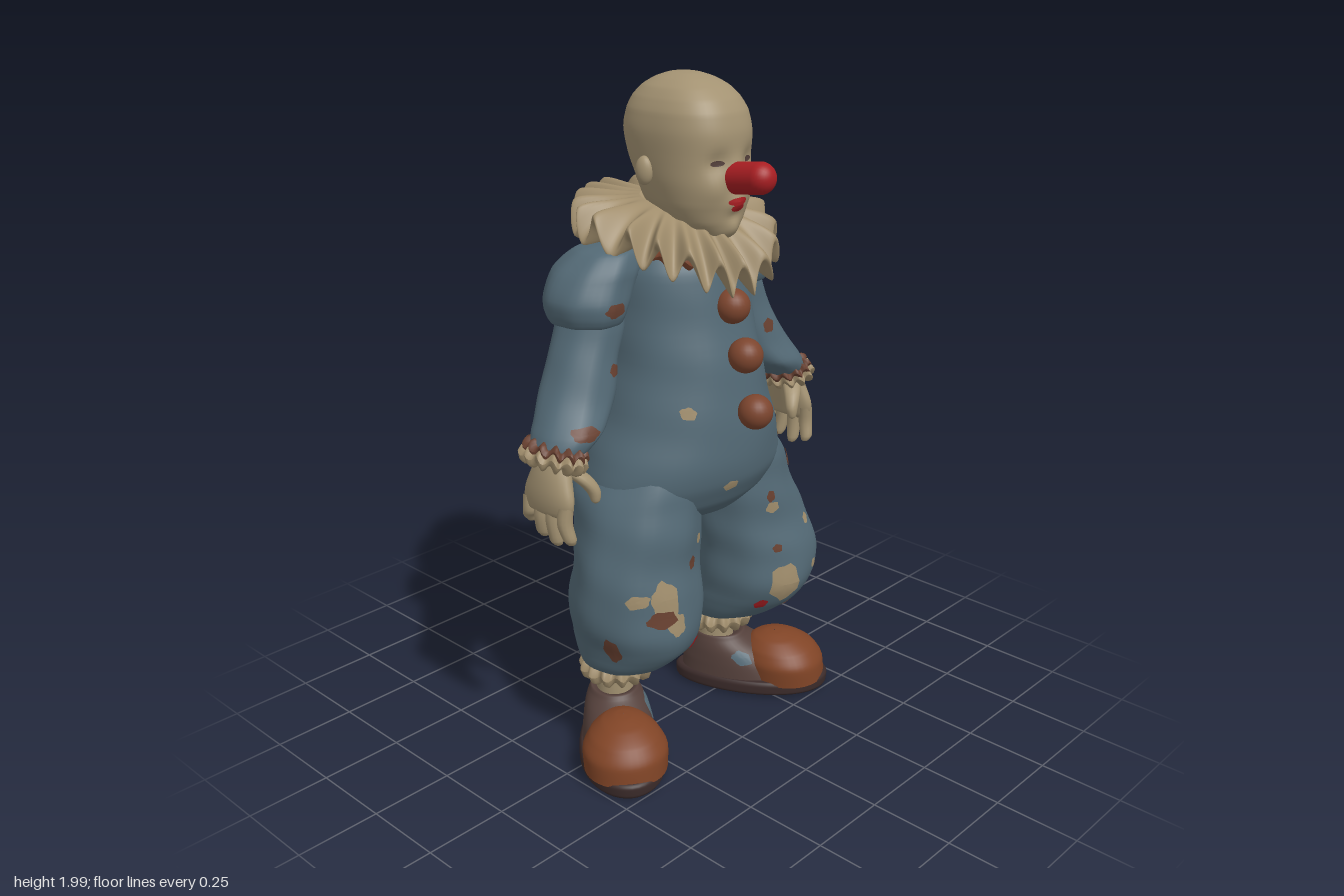
import * as THREE from 'three';

const paint = (name, color, side = THREE.FrontSide) => {
  const m = new THREE.MeshStandardMaterial({ color, side });
  m.name = name;
  return m;
};

// Smooth body lofted through horizontal ovals [x, y, z, halfWidth, halfDepth]
function loft(sections, seg = 32, rows = 32, wrinkle = 0) {
  const s = sections[0][1] > sections.at(-1)[1] ? [...sections].reverse() : sections;
  const mid = new THREE.CatmullRomCurve3(s.map(p => new THREE.Vector3(p[0], p[1], p[2])));
  const size = new THREE.CatmullRomCurve3(s.map(p => new THREE.Vector3(p[3], p[4], 0)));
  const pos = [], idx = [];
  for (let j = 0; j <= rows; j++) {
    const c = mid.getPoint(j / rows), r = size.getPoint(j / rows);
    for (let i = 0; i < seg; i++) {
      const a = (i / seg) * Math.PI * 2;
      const k = 1 + wrinkle * Math.sin(3 * a + c.y * 22) * Math.sin(5 * a - c.y * 17);
      pos.push(c.x + Math.cos(a) * r.x * k, c.y, c.z + Math.sin(a) * r.y * k);
      if (j < rows) {
        const n = (i + 1) % seg, p = j * seg, q = p + seg;
        idx.push(p + i, q + i, p + n, q + i, q + n, p + n);
      }
    }
  }
  const g = new THREE.BufferGeometry();
  g.setAttribute('position', new THREE.Float32BufferAttribute(pos, 3));
  g.setIndex(idx);
  g.computeVertexNormals();
  return g;
}

// Move every vertex by a rule
function reshape(g, rule) {
  const p = g.attributes.position, v = new THREE.Vector3();
  for (let i = 0; i < p.count; i++) {
    v.fromBufferAttribute(p, i);
    rule(v);
    p.setXYZ(i, v.x, v.y, v.z);
  }
  g.computeVertexNormals();
  return g;
}

// Gathered cuff: a ring with beaded folds
function frill(radius, tube, folds, wave) {
  const g = new THREE.TorusGeometry(radius, tube, 10, folds * 8).rotateX(Math.PI / 2);
  return reshape(g, v => {
    const a = Math.atan2(v.z, v.x), r = Math.hypot(v.x, v.z);
    const k = (radius + (r - radius) * (1 + 0.3 * Math.cos(folds * a))) / r;
    v.x *= k;
    v.z *= k;
    v.y = v.y * (1 + 0.2 * Math.cos(folds * a)) + wave * Math.sin(folds * a);
  });
}

// Pleated neck ruff, level behind and drooping in front, upper and lower cloth joined at the rim
function ruffGeometry() {
  const pleats = 20, seg = 320, rows = 28, pos = [], idx = [];
  for (let j = 0; j <= rows; j++) {
    const u = (j / rows) * Math.PI;
    const t = Math.sin(u), top = Math.cos(u);
    for (let i = 0; i < seg; i++) {
      const a = (i / seg) * Math.PI * 2;
      const phase = pleats * a + 0.9 * Math.sin(3 * a) + 0.5 * Math.sin(7 * a);
      const r = (0.1 + 0.185 * t) * (1 + t * (0.03 * Math.cos(phase) + 0.015 * Math.sin(4 * a + 1)));
      const x = Math.cos(a) * r, z = Math.sin(a) * r * 1.03 - 0.03;
      const droop = 1.1 * Math.max(0, z + 0.1) ** 2 + 0.3 * x * x;
      pos.push(x, 1.614 - droop + 0.045 * top + 0.042 * t * t * Math.sin(phase), z);
      if (j < rows) {
        const n = (i + 1) % seg, p = j * seg, q = p + seg;
        idx.push(p + i, p + n, q + i, q + i, p + n, q + n);
      }
    }
  }
  const g = new THREE.BufferGeometry();
  g.setAttribute('position', new THREE.Float32BufferAttribute(pos, 3));
  g.setIndex(idx);
  g.computeVertexNormals();
  return g;
}

export function createModel() {
  const skin = paint('skin', 0xa39272), cloth = paint('blueCloth', 0x536975);
  const ruffle = paint('ruffleCloth', 0xa08d6c, THREE.DoubleSide), button = paint('buttonBrown', 0x7c452e);
  const toe = paint('toeLeather', 0x804426), leather = paint('shoeLeather', 0x54403b);
  const soleDark = paint('soleDark', 0x3b2b2a), red = paint('red', 0xa81e22, THREE.DoubleSide);
  const brown = paint('patchBrown', 0x684030, THREE.DoubleSide), tan = paint('patchTan', 0xa08d6c, THREE.DoubleSide);

  const clown = new THREE.Group();
  clown.name = 'clown';
  const add = (name, g, m, parent = clown) => {
    const mesh = new THREE.Mesh(g, m);
    mesh.name = name;
    parent.add(mesh);
    return mesh;
  };
  const group = name => {
    const g = new THREE.Group();
    g.name = name;
    clown.add(g);
    return g;
  };

  // Head, slightly squared in plan, with gentle bumps [x, y, reach, push] for the face
  const bumps = [[0.06, 1.775, 0.03, -0.014], [-0.06, 1.775, 0.03, -0.014], [0.075, 1.7, 0.04, 0.01],
    [-0.075, 1.7, 0.04, 0.01], [0, 1.665, 0.03, 0.016], [0, 1.63, 0.02, -0.008], [0, 1.595, 0.03, 0.012], [0, 1.75, 0.03, 0.012]];
  const head = add('head', reshape(loft([
    [0, 1.48, -0.02, 0.09, 0.09], [0, 1.545, 0.03, 0.07, 0.09], [0, 1.57, 0.07, 0.065, 0.1],
    [0, 1.61, 0.06, 0.098, 0.125], [0, 1.66, 0.045, 0.122, 0.147], [0, 1.72, 0.035, 0.135, 0.16],
    [0, 1.78, 0.022, 0.141, 0.174], [0, 1.845, 0.015, 0.145, 0.181], [0, 1.9, 0.014, 0.138, 0.169],
    [0, 1.935, 0.012, 0.122, 0.149], [0, 1.963, 0.01, 0.1, 0.118], [0, 1.983, 0.008, 0.07, 0.082],
    [0, 1.995, 0.006, 0.038, 0.044], [0, 2, 0.006, 0.001, 0.001]], 64, 78), v => {
    const a = Math.atan2((v.z - 0.015) / 0.18, v.x / 0.145);
    const square = (Math.abs(Math.cos(a)) ** 2.5 + Math.abs(Math.sin(a)) ** 2.5) ** -0.4;
    v.x *= square;
    v.z = 0.015 + (v.z - 0.015) * square;
    if (v.z < 0.05) return;
    for (const [x, y, r, d] of bumps) v.z += d * Math.exp(-((v.x - x) ** 2 + (v.y - y) ** 2) / (r * r));
  }), skin);
  add('nose', new THREE.CapsuleGeometry(0.044, 0.085, 10, 24).rotateX(Math.PI / 2 - 0.12), red).position.set(0, 1.737, 0.237);

  // Ruff and the band beneath it
  add('neckRuff', ruffGeometry(), ruffle);
  const band = add('neckBand', frill(0.165, 0.024, 20, 0.006), button);
  band.position.set(0, 1.54, -0.025);
  band.rotation.x = 0.24;

  // Suit body and buttons
  const clothes = [add('suitBody', loft([
    [0, 1.57, -0.03, 0.08, 0.08], [0, 1.535, -0.035, 0.17, 0.15], [0, 1.47, -0.03, 0.205, 0.19],
    [0, 1.35, -0.02, 0.217, 0.203], [0, 1.2, -0.005, 0.235, 0.225], [0, 1.05, -0.005, 0.275, 0.248],
    [0, 0.95, -0.01, 0.315, 0.26], [0, 0.87, -0.013, 0.34, 0.25], [0, 0.8, -0.005, 0.31, 0.21],
    [0, 0.75, 0.005, 0.2, 0.15], [0, 0.72, 0.01, 0.06, 0.06], [0, 0.718, 0.01, 0.001, 0.001]], 56, 60, 0.012), cloth)];
  for (const [y, z] of [[1.375, 0.188], [1.242, 0.238], [1.085, 0.278]])
    add('button', new THREE.SphereGeometry(0.05, 24, 16), button).position.set(0, y, z);

  for (const s of [1, -1]) {
    const side = s > 0 ? 'left' : 'right';
    const at = list => list.map(([x, ...rest]) => [x * s, ...rest]);
    const ear = add(side + 'Ear', new THREE.SphereGeometry(1, 20, 14), skin);
    ear.scale.set(0.02, 0.04, 0.026);
    ear.position.set(0.143 * s, 1.745, -0.01);
    ear.rotation.y = -0.3 * s;

    // Arm: sleeve, shoulder puff and cuff, the left one held further back
    const arm = group(side + 'Arm');
    arm.position.z = s > 0 ? -0.03 : -0.006;
    clothes.push(add('sleeve', loft(at([
      [0.29, 1.46, -0.065, 0.07, 0.08], [0.305, 1.34, -0.06, 0.095, 0.097], [0.34, 1.25, -0.055, 0.1, 0.1],
      [0.377, 1.16, -0.04, 0.11, 0.103], [0.432, 1.085, -0.015, 0.104, 0.103], [0.475, 1.04, -0.005, 0.08, 0.085],
      [0.49, 1.01, -0.005, 0.05, 0.06]]), 36, 36, 0.025), cloth, arm));
    clothes.push(add('shoulderPuff', loft(at([
      [0.22, 1.555, -0.055, 0.005, 0.005], [0.235, 1.54, -0.06, 0.085, 0.085], [0.27, 1.485, -0.07, 0.115, 0.12],
      [0.3, 1.42, -0.072, 0.12, 0.128], [0.313, 1.375, -0.07, 0.107, 0.12], [0.315, 1.348, -0.065, 0.088, 0.098],
      [0.31, 1.36, -0.065, 0.05, 0.05]]), 36, 30, 0.04), cloth, arm));
    for (const [name, dy, mat] of [['wristFrill', 0, ruffle], ['wristFrillBand', 0.02, brown]]) {
      const cuff = add(name, frill(0.056, dy ? 0.017 : 0.02, 13, 0.009), mat, arm);
      cuff.position.set((0.503 - dy * 0.5) * s, 1.013 + dy, -0.005);
      cuff.scale.z = 1.4;
      cuff.rotation.z = 0.3 * s;
    }

    // Hand with four fingers and a thumb
    add('palm', loft(at([[0.495, 1.03, 0, 0.04, 0.05], [0.515, 0.97, 0, 0.038, 0.074], [0.525, 0.91, 0, 0.034, 0.094],
      [0.527, 0.87, -0.004, 0.027, 0.09], [0.527, 0.855, -0.004, 0.002, 0.06]]), 24, 18), skin, arm);
    [0.81, 0.78, 0.768, 0.785].forEach((tip, i) => {
      const z = -0.072 + 0.047 * i, out = z * 1.15;
      add('finger', loft(at([[0.527, 0.9, z, 0.023, 0.023], [0.532, 0.85, z, 0.022, 0.022],
        [0.525, tip + 0.02, out, 0.019, 0.019], [0.52, tip + 0.004, out, 0.011, 0.011],
        [0.52, tip, out, 0.001, 0.001]]), 12, 14), skin, arm);
    });
    add('thumb', loft(at([[0.5, 1.0, 0.03, 0.03, 0.03], [0.465, 0.965, 0.065, 0.028, 0.026], [0.44, 0.925, 0.085, 0.02, 0.02],
      [0.437, 0.895, 0.09, 0.012, 0.012], [0.437, 0.887, 0.09, 0.001, 0.001]]), 14, 14), skin, arm);

    // Baggy trouser leg, bowed and bent a little differently on each side
    const bow = s > 0 ? 0.018 : -0.018, ankle = s > 0 ? 0.212 : 0.243, knee = s > 0 ? 0.008 : -0.02;
    clothes.push(add(side + 'TrouserLeg', loft(at([
      [0.165, 0.93, -0.02, 0.14, 0.19], [0.185, 0.84, -0.01, 0.178, 0.2], [0.205, 0.75, 0.012, 0.183, 0.187],
      [0.23 + bow / 2, 0.65, 0.035 + knee / 2, 0.19, 0.174], [0.247 + bow, 0.55, 0.045 + knee, 0.196, 0.188],
      [0.248 + bow, 0.46, 0.043 + knee, 0.19, 0.203], [0.242 + bow / 2, 0.38, 0.028 + knee / 2, 0.168, 0.187],
      [ankle + 0.012, 0.315, 0, 0.127, 0.14], [ankle, 0.28, -0.035, 0.09, 0.09],
      [ankle, 0.27, -0.04, 0.04, 0.04]]), 44, 48, 0.022), cloth));
    add(side + 'AnkleFrill', frill(0.078, 0.031, 14, 0.006), ruffle).position.set(ankle * s, 0.258, -0.045);
    add(side + 'Shin', new THREE.CylinderGeometry(0.06, 0.058, 0.16, 24), skin).position.set(ankle * s, 0.2, -0.055);

    // Big shoe, splayed outward
    const shoe = group(side + 'Shoe');
    shoe.position.set((s > 0 ? 0.289 : 0.314) * s, 0, 0.035);
    shoe.rotation.y = 0.63 * s;
    const taper = v => { v.x *= 1 + 0.7 * v.z; };
    add('sole', reshape(loft([[0, 0.009, 0, 0.001, 0.001], [0, 0.01, 0, 0.11, 0.235], [0, 0.022, 0, 0.124, 0.247],
      [0, 0.045, 0, 0.124, 0.249], [0, 0.058, 0, 0.116, 0.238], [0, 0.06, 0, 0.001, 0.001]], 48, 25), taper), soleDark, shoe);
    clothes.push(add('upper', reshape(loft([[0, 0.045, -0.03, 0.114, 0.198], [0, 0.1, -0.055, 0.108, 0.168],
      [0, 0.145, -0.085, 0.099, 0.125], [0, 0.175, -0.105, 0.086, 0.094], [0, 0.19, -0.11, 0.076, 0.082],
      [0, 0.175, -0.11, 0.05, 0.05]], 40, 30), taper), leather, shoe));
    add('toeCap', reshape(loft([[0, 0.045, 0.105, 0.114, 0.134], [0, 0.1, 0.1, 0.117, 0.133], [0, 0.145, 0.09, 0.097, 0.113],
      [0, 0.175, 0.08, 0.062, 0.073], [0, 0.188, 0.075, 0.025, 0.03], [0, 0.19, 0.075, 0.001, 0.001]], 40, 30), taper), toe, shoe);
  }

  // Thin ragged patches pressed onto the surface from one direction
  clown.updateMatrixWorld(true);
  const ray = new THREE.Raycaster();
  const views = { front: [0, 0, -1], left: [-1, 0, 0], right: [1, 0, 0] };
  function patch(name, targets, view, h, y, rw, rh, mat, ragged = 0.22) {
    const dir = new THREE.Vector3(...views[view]);
    const cast = (a, b) => {
      const o = dir.x ? new THREE.Vector3(0, b, a) : new THREE.Vector3(a, b, 0);
      ray.set(o.addScaledVector(dir, -3), dir);
      return ray.intersectObjects(targets, false)[0]?.point.addScaledVector(dir, mat === brown ? -0.006 : -0.004);
    };
    const mid = cast(h, y);
    if (!mid) return;
    const g = reshape(new THREE.RingGeometry(0.001, 1, 16, 4), v => {
      const a = Math.atan2(v.y, v.x), k = 1 + ragged * Math.sin(3 * a + h * 40) * Math.cos(2 * a + y * 30);
      const p = cast(h + v.x * rw * k, y + v.y * rh * k);
      v.copy(p && p.distanceTo(mid) < 0.13 ? p : mid);
    });
    add(name, g, mat);
  }
  for (const [view, h, y, w, t, m] of [
    ['front', -0.29, 0.575, 0.04, 0.06, tan], ['front', -0.26, 0.49, 0.028, 0.035, tan], ['front', -0.3, 0.52, 0.042, 0.026, brown],
    ['front', -0.16, 0.385, 0.025, 0.022, red], ['front', 0.2, 0.455, 0.046, 0.062, tan], ['front', 0.28, 0.34, 0.025, 0.016, brown],
    ['front', 0.31, 0.82, 0.022, 0.025, brown], ['front', 0.18, 0.71, 0.022, 0.018, tan], ['front', 0.17, 0.75, 0.014, 0.018, brown],
    ['front', 0.34, 0.62, 0.016, 0.016, tan], ['front', 0.18, 0.58, 0.015, 0.013, brown], ['front', -0.13, 0.71, 0.014, 0.016, tan],
    ['front', -0.17, 0.65, 0.016, 0.02, brown], ['front', 0.15, 0.385, 0.016, 0.018, red], ['front', 0.34, 0.48, 0.015, 0.015, tan],
    ['front', -0.05, 0.865, 0.026, 0.015, tan], ['front', -0.17, 1.1, 0.018, 0.018, tan], ['front', -0.32, 1.23, 0.018, 0.018, brown],
    ['front', 0.35, 1.21, 0.022, 0.022, brown], ['front', -0.455, 1.09, 0.04, 0.02, brown], ['front', 0.28, 1.12, 0.016, 0.02, brown],
    ['front', -0.32, 1.4, 0.035, 0.02, brown], ['front', 0.35, 1.39, 0.03, 0.02, brown], ['front', 0.2, 1.24, 0.012, 0.012, tan],
    ['right', 0.16, 0.58, 0.022, 0.02, tan], ['right', 0.1, 0.42, 0.026, 0.04, brown],
    ['left', 0.08, 0.6, 0.018, 0.02, tan], ['left', 0.14, 0.47, 0.022, 0.03, tan], ['left', 0.05, 0.45, 0.02, 0.02, brown],
    ['left', 0.1, 0.9, 0.022, 0.025, brown], ['front', -0.21, 0.13, 0.022, 0.035, cloth], ['front', 0.2, 0.13, 0.022, 0.022, cloth],
  ]) patch('suitPatch', clothes, view, h, y, w, t, m);

  // Painted face
  for (const s of [1, -1]) patch('eye', [head], 'front', 0.06 * s, 1.775, 0.02, 0.008, leather, 0);
  patch('upperLip', [head], 'front', 0, 1.67, 0.036, 0.011, red, 0);
  patch('lowerLip', [head], 'front', 0, 1.652, 0.024, 0.011, red, 0);
  patch('cheekSpot', [head], 'front', 0.097, 1.71, 0.02, 0.017, red);

  // The figure looks towards +x
  clown.rotation.y = Math.PI / 2;
  const model = new THREE.Group();
  model.name = 'clownFigure';
  model.add(clown);
  return model;
}
